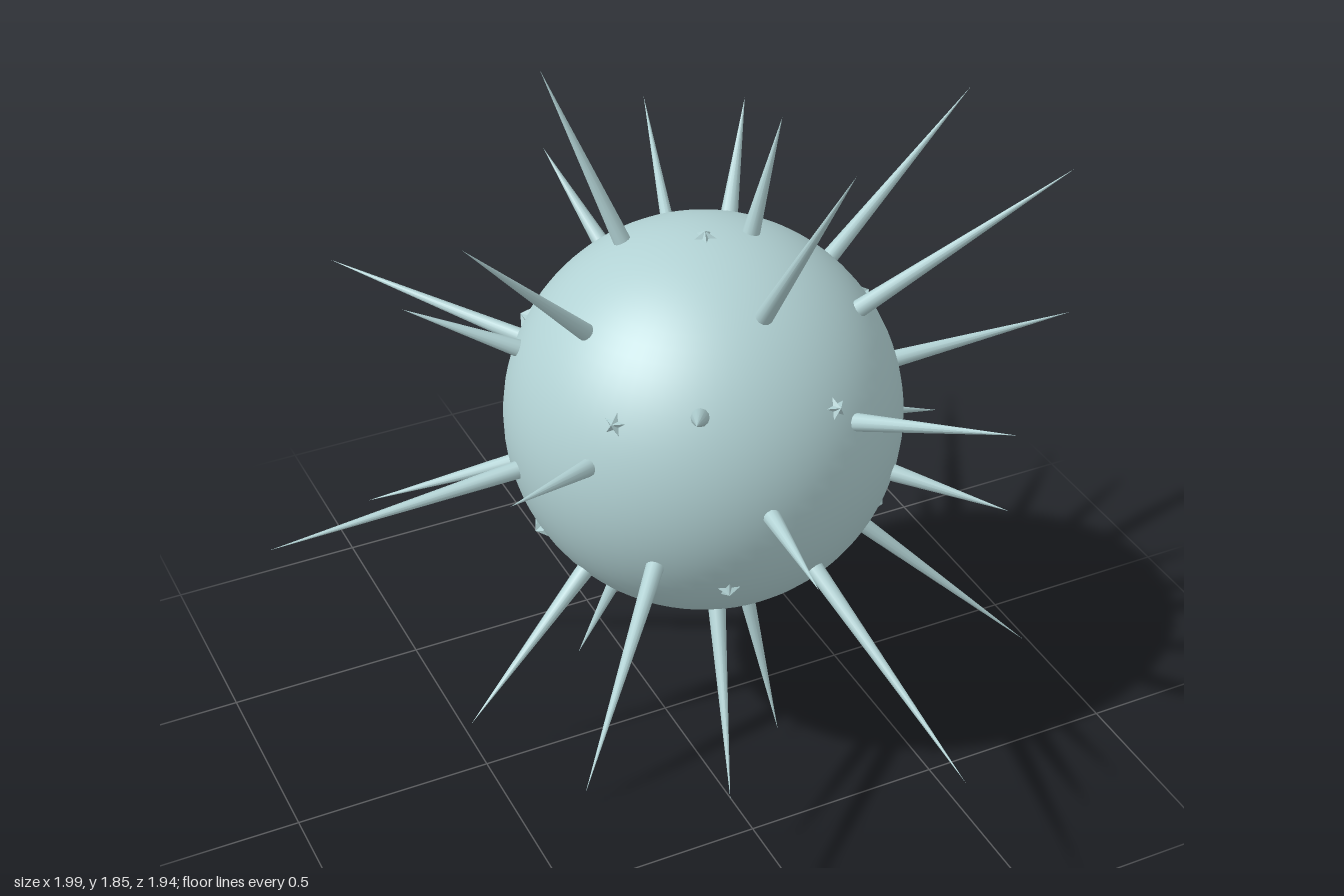
import * as THREE from 'three';

const CENTRE = new THREE.Vector3(0.088, 0.932, 0.027);
const RADIUS = 0.48;
const UP = new THREE.Vector3(0, 1, 0);

// Spike tips (x, y, z); every spike points straight out from the body centre
const TIPS = [
  // upper spikes
  [-0.55, 1.6, 0.14], [-0.2, 1.78, -0.24], [0.14, 1.855, 0.617], [0.28, 1.68, 0.03],
  [0.38, 1.53, -0.35], [0.783, 1.647, 0.47], [0.995, 1.444, -0.305], [-0.06, 1.385, -0.57],
  [-0.275, 1.425, 0.727], [0.45, 1.245, 0.82], [0.398, 1.24, -0.97], [-0.564, 1.24, -0.24],
  // spikes around the middle
  [0.99, 1.075, 0.22], [0.805, 0.904, -0.57], [0.63, 0.81, 0.557], [-0.997, 0.829, -0.02],
  [-0.537, 1.032, -0.862], [-0.564, 1.096, 0.401], [-0.008, 0.955, 0.79], [0.045, 0.729, -0.878],
  // lower spikes
  [0.805, 0.668, -0.06], [0.837, 0.215, 0.373], [0.607, 0.003, -0.24], [0.211, 0.03, 0.227],
  [-0.104, 0.209, 0.578], [-0.222, 0.237, -0.044], [-0.628, 0.38, 0.252], [-0.612, 0.556, -0.465],
  [-0.586, 0.626, 0.832], [0.297, 0.42, 0.967], [0.41, 0.525, -0.537], [-0.115, 0.38, -0.46],
];

// Low five-pointed pyramid standing on y = 0, one point towards -x
function starGeometry(outer, inner, height) {
  const rim = (i) => {
    const a = Math.PI + (i * Math.PI) / 5;
    const r = i % 2 ? inner : outer;
    return [r * Math.cos(a), -0.004, r * Math.sin(a)];
  };
  const points = [];
  for (let i = 0; i < 10; i++) points.push(...rim(i + 1), ...rim(i), 0, height, 0);
  const geometry = new THREE.BufferGeometry();
  geometry.setAttribute('position', new THREE.Float32BufferAttribute(points, 3));
  geometry.computeVertexNormals();
  return geometry;
}

export function createModel() {
  const model = new THREE.Group();
  model.name = 'spikyBall';
  const shell = new THREE.MeshStandardMaterial({ color: 0xb2d2d4 });
  shell.name = 'paleTeal';

  // Round body
  const body = new THREE.Mesh(new THREE.SphereGeometry(RADIUS, 64, 40), shell);
  body.name = 'body';
  body.position.copy(CENTRE);
  model.add(body);

  // Long thin spikes, rooted just under the surface
  const spikes = new THREE.Group();
  spikes.name = 'spikes';
  for (const tip of TIPS) {
    const dir = new THREE.Vector3(...tip).sub(CENTRE);
    const reach = dir.length();
    dir.normalize();
    const root = RADIUS - 0.015;
    const spike = new THREE.Mesh(new THREE.ConeGeometry(0.022, reach - root, 12), shell);
    spike.name = 'spike';
    spike.position.copy(CENTRE).addScaledVector(dir, (root + reach) / 2);
    spike.quaternion.setFromUnitVectors(UP, dir);
    spikes.add(spike);
  }
  model.add(spikes);

  // Twelve evenly spread star bumps: two poles and two staggered rings of five
  const stars = new THREE.Group();
  stars.name = 'starBumps';
  const starShape = starGeometry(0.032, 0.014, 0.016);
  const addStar = (tilt, turn) => {
    const star = new THREE.Mesh(starShape, shell);
    star.name = 'starBump';
    star.rotation.set(0, turn, -tilt, 'YXZ');
    star.position.copy(UP).applyEuler(star.rotation).multiplyScalar(RADIUS).add(CENTRE);
    stars.add(star);
  };
  const ringTilt = Math.atan(2);
  addStar(0, 0);
  addStar(Math.PI, 0);
  for (let i = 0; i < 5; i++) {
    const turn = (i * 2 * Math.PI) / 5;
    addStar(ringTilt, turn);
    addStar(Math.PI - ringTilt, turn + Math.PI / 5);
  }
  model.add(stars);
  return model;
}
